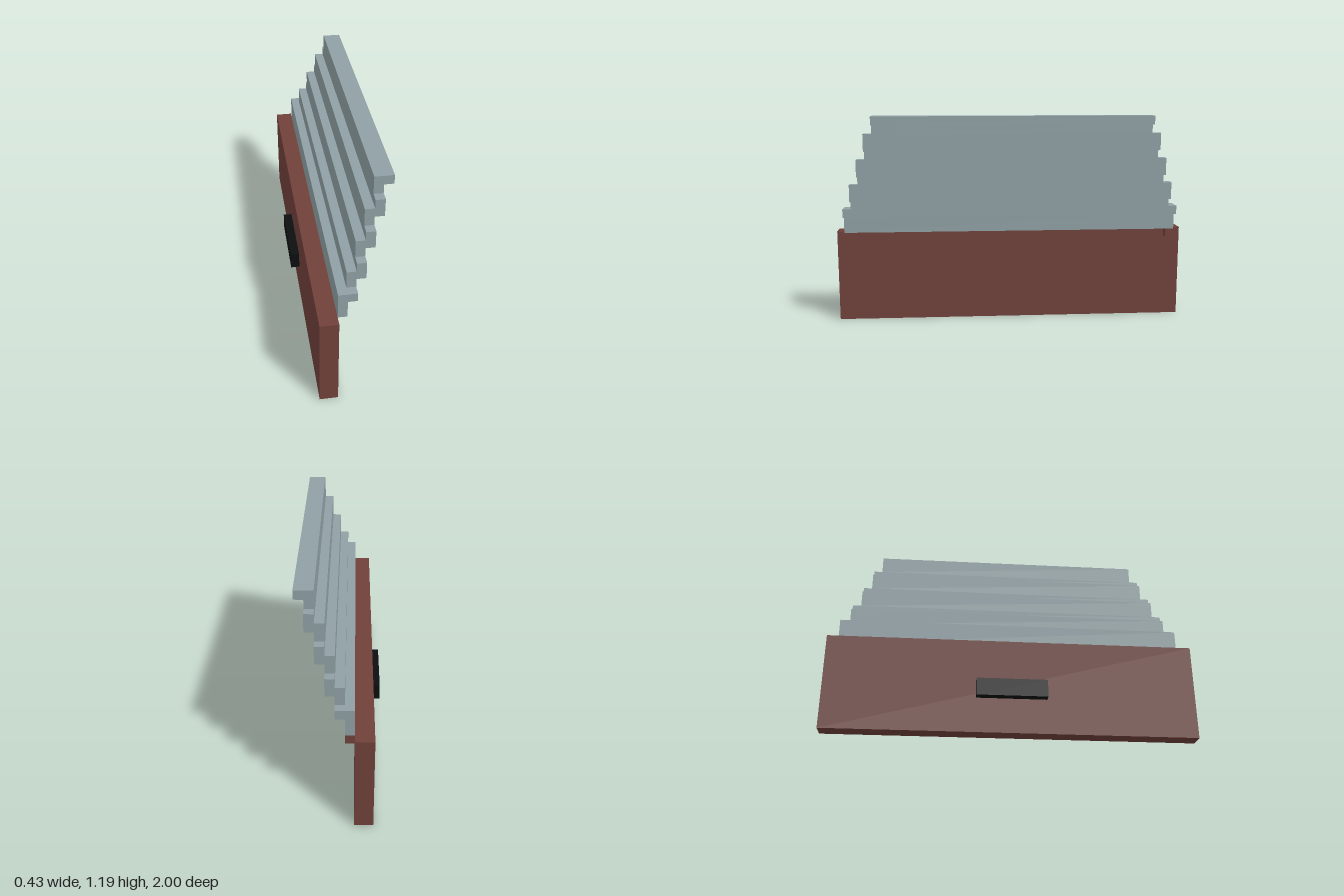
import * as THREE from 'three';

const U = 1 / 21; // one grid unit

export function createModel() {
  const group = new THREE.Group();
  const material = (name, color) => {
    const m = new THREE.MeshStandardMaterial({ color });
    m.name = name;
    return m;
  };
  const brown = material('brown', 0x70413a);
  const grey = material('blue grey', 0x8fa0a4);
  const black = material('black', 0x0c0e0f);

  const add = (name, geometry, mat) => {
    const mesh = new THREE.Mesh(geometry, mat);
    mesh.name = name;
    group.add(mesh);
  };

  // box from its lower and upper corners, in grid units
  const box = (name, [x0, y0, z0], [x1, y1, z1], mat) => {
    const g = new THREE.BoxGeometry((x1 - x0) * U, (y1 - y0) * U, (z1 - z0) * U);
    g.translate((x0 + x1) / 2 * U, (y0 + y1) / 2 * U, (z0 + z1) / 2 * U);
    add(name, g, mat);
  };

  // base board, its handle and the small peg under one end of the slats
  box('baseBoard', [-3.5, 0, -21], [-1.5, 11, 21], brown);
  box('handle', [-4.5, 4, -4], [-3.5, 6, 4], black);
  box('peg', [-1.5, 10, -20], [-0.5, 11, -19], brown);

  // five stepped slats: each has an inner column and an outer column one unit further out
  for (let i = 0; i < 5; i++) {
    const x = -1.5 + i;
    const half = 20 - i;
    const bottom = 11 + 3 * i;
    const innerBottom = i === 0 ? 11 : bottom;
    const innerTop = i === 0 ? 14 : bottom + 2;
    const outerBottom = i === 0 ? 13 : bottom + 1;
    const outerTop = i === 0 ? 14 : i === 4 ? bottom + 2 : bottom + 3;
    const points = [
      [x, innerBottom], [x + 1, innerBottom], [x + 1, outerBottom], [x + 2, outerBottom],
      [x + 2, outerTop], [x + 1, outerTop], [x + 1, innerTop], [x, innerTop],
    ].map(([a, b]) => new THREE.Vector2(a * U, b * U))
      .filter((p, k, all) => k === 0 || p.distanceTo(all[k - 1]) > 1e-6);
    const g = new THREE.ExtrudeGeometry(new THREE.Shape(points), { depth: 2 * half * U, bevelEnabled: false });
    g.translate(0, 0, -half * U);
    add('slat' + (i + 1), g, grey);
  }
  return group;
}
